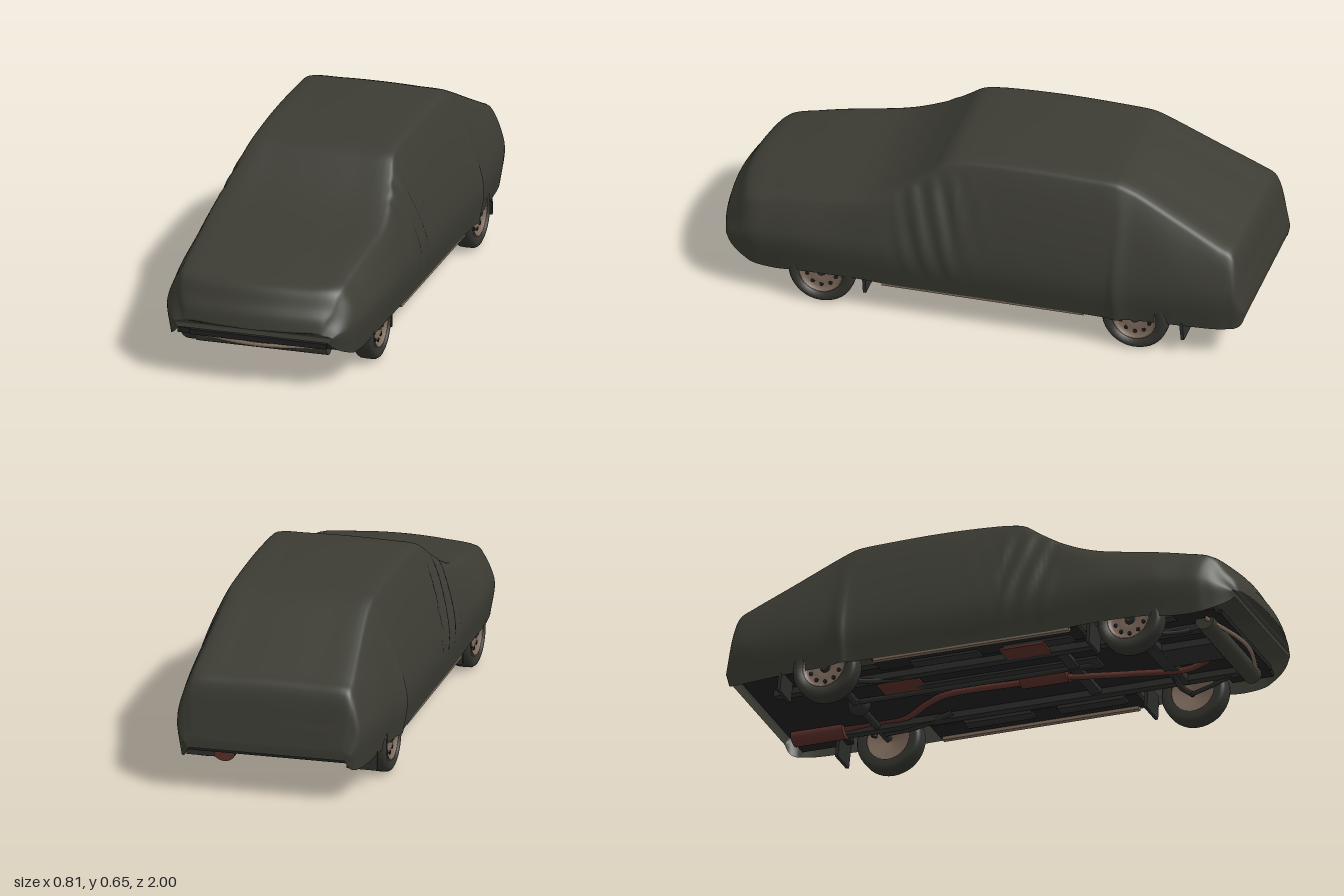
import * as THREE from 'three';

const mat = (name, color, side = THREE.FrontSide) =>
  Object.assign(new THREE.MeshStandardMaterial({ color, side }), { name });

export function createModel() {
  const car = new THREE.Group();
  car.name = 'coveredCar';
  const cloth = mat('cover cloth', 0x3c3c34, THREE.DoubleSide);
  const rubber = mat('tyre rubber', 0x34342f);
  const rim = mat('rim tan', 0x7c685a);
  const under = mat('underbody dark', 0x1e201e);
  const steel = mat('chassis steel', 0x2c2e2b);
  const rust = mat('exhaust brown', 0x5c302a);
  const sill = mat('sill tan', 0x806c5c);

  const add = (parent, name, geo, material, x = 0, y = 0, z = 0) => {
    const m = new THREE.Mesh(geo, material);
    m.name = name;
    m.position.set(x, y, z);
    parent.add(m);
    return m;
  };
  const box = (name, material, w, h, d, x, y, z) =>
    add(car, name, new THREE.BoxGeometry(w, h, d), material, x, y, z);
  const tube = (name, material, r, pts) => add(car, name, new THREE.TubeGeometry(
    new THREE.CatmullRomCurve3(pts.map(p => new THREE.Vector3(...p))), 40, r, 10), material);
  const rod = (name, material, r, len, x, y, z, axis) => {
    const m = add(car, name, new THREE.CylinderGeometry(r, r, len, 20), material, x, y, z);
    m.rotation[axis === 'x' ? 'z' : 'x'] = Math.PI / 2;
    return m;
  };

  add(car, 'fabricCover', coverGeometry(), cloth);

  // Wheels: tyre, rim dish, hub and round vents
  const tyreGeo = new THREE.LatheGeometry([
    [0.082, -0.036], [0.108, -0.039], [0.118, -0.034], [0.124, -0.024], [0.125, 0],
    [0.124, 0.024], [0.118, 0.034], [0.108, 0.039], [0.082, 0.036], [0.08, 0], [0.082, -0.036],
  ].map(p => new THREE.Vector2(...p)), 40);
  const rimGeo = new THREE.LatheGeometry([
    [0, -0.012], [0.078, -0.03], [0.084, -0.036], [0.084, 0.036], [0.076, 0.034],
    [0.068, 0.02], [0.045, 0.026], [0.028, 0.02], [0, 0.02],
  ].map(p => new THREE.Vector2(...p)), 36);
  for (const s of [1, -1]) {
    for (const [end, z] of [['front', 0.58], ['rear', -0.6]]) {
      const wheel = new THREE.Group();
      wheel.name = end + 'Wheel';
      wheel.position.set(s * 0.332, 0.125, z);
      wheel.rotation.z = -s * Math.PI / 2;
      add(wheel, 'tyre', tyreGeo, rubber);
      add(wheel, 'rim', rimGeo, rim);
      add(wheel, 'hubCap', new THREE.CylinderGeometry(0.016, 0.02, 0.014, 16), steel, 0, 0.025, 0);
      for (let i = 0; i < 10; i++) {
        const a = i * Math.PI / 5;
        add(wheel, 'rimVent', new THREE.CylinderGeometry(0.008, 0.008, 0.006, 10), under,
          Math.cos(a) * 0.056, 0.023, Math.sin(a) * 0.056);
      }
      car.add(wheel);
    }
    // Mud flaps
    box('frontMudFlap', steel, 0.115, 0.09, 0.012, s * 0.3, 0.105, 0.42).rotation.x = 0.05;
    box('rearMudFlap', steel, 0.115, 0.09, 0.012, s * 0.3, 0.105, -0.775).rotation.x = 0.1;

    // Sills, floor ribs, rails and suspension
    box('sill', sill, 0.02, 0.025, 0.76, s * 0.362, 0.125, -0.03);
    box('floorSide', under, 0.11, 0.02, 0.8, s * 0.31, 0.135, -0.02);
    box('chassisRail', steel, 0.035, 0.025, 1.7, s * 0.2, 0.122, 0);
    for (const z of [0.2, -0.16]) box('floorRib', steel, 0.05, 0.012, 0.26, s * 0.28, 0.122, z);
    tube('frontArm', steel, 0.011, [[s * 0.1, 0.12, 0.58], [s * 0.2, 0.1, 0.57], [s * 0.3, 0.11, 0.58]]);
    tube('frontStrut', steel, 0.008, [[s * 0.28, 0.1, 0.58], [s * 0.23, 0.105, 0.7], [s * 0.19, 0.125, 0.82]]);
    tube('rearTrailingArm', steel, 0.01, [[s * 0.17, 0.125, -0.3], [s * 0.21, 0.11, -0.45], [s * 0.25, 0.12, -0.6]]);
    rod('rearDamper', steel, 0.012, 0.09, s * 0.23, 0.15, -0.62, 'z').rotation.x = 0.2;
  }

  // Floor pan and ends
  box('floorPan', under, 0.52, 0.02, 1.82, 0, 0.145, -0.01);
  box('rearFloor', under, 0.64, 0.02, 0.2, 0, 0.145, -0.84);
  box('frontFloor', under, 0.62, 0.02, 0.16, 0, 0.145, 0.81);
  const lip = add(car, 'frontValance', new THREE.CylinderGeometry(0.035, 0.035, 0.5, 20), cloth, 0, 0.125, 0.83);
  lip.rotation.z = Math.PI / 2;
  tube('frontBumperEdge', sill, 0.008, [[-0.28, 0.125, 0.84], [0, 0.125, 0.9], [0.28, 0.125, 0.84]]);
  box('frontCrossmember', steel, 0.42, 0.03, 0.05, 0, 0.122, 0.58);
  box('gearboxCrossmember', steel, 0.4, 0.018, 0.04, 0, 0.124, 0.25);
  box('engineSump', steel, 0.14, 0.035, 0.2, -0.02, 0.125, 0.7);
  box('transmissionTunnel', steel, 0.09, 0.012, 0.7, -0.04, 0.132, 0);
  rod('rearAxle', steel, 0.014, 0.6, 0, 0.125, -0.6, 'x');
  add(car, 'differential', new THREE.SphereGeometry(0.042, 20, 14), steel, 0, 0.13, -0.6);
  rod('propShaft', steel, 0.01, 0.9, -0.04, 0.122, -0.13, 'z');

  // Exhaust and brown floor plates
  tube('frontExhaust', rust, 0.012, [[0.1, 0.14, 0.72], [0.1, 0.115, 0.64], [0.06, 0.11, 0.45], [0, 0.11, 0.2]]);
  rod('middleSilencer', rust, 0.026, 0.18, 0, 0.12, 0.12, 'z').scale.x = 1.4;
  tube('rearExhaust', rust, 0.012, [[0, 0.115, 0.05], [0, 0.115, -0.26], [0.06, 0.12, -0.36],
    [0.17, 0.135, -0.48], [0.18, 0.14, -0.6], [0.18, 0.13, -0.74]]);
  rod('rearSilencer', rust, 0.03, 0.2, 0.18, 0.125, -0.82, 'z').scale.x = 1.3;
  box('jackingPlate', rust, 0.09, 0.008, 0.17, -0.26, 0.112, 0.14);
  box('tankPlate', rust, 0.12, 0.008, 0.16, -0.11, 0.13, -0.4);
  return car;
}

// Draped cover lofted through sections: z, hem y, crown y, crown half width, waist half width
function coverGeometry() {
  const stations = [
    [1.0, 0.185, 0.22, 0.27, 0.3], [0.985, 0.16, 0.27, 0.28, 0.32], [0.96, 0.14, 0.305, 0.3, 0.34],
    [0.93, 0.125, 0.352, 0.31, 0.355], [0.9, 0.115, 0.37, 0.32, 0.365], [0.8, 0.11, 0.39, 0.325, 0.375],
    [0.68, 0.12, 0.41, 0.33, 0.385], [0.55, 0.125, 0.43, 0.335, 0.39], [0.44, 0.125, 0.45, 0.34, 0.39],
    [0.36, 0.122, 0.478, 0.335, 0.39], [0.28, 0.12, 0.52, 0.32, 0.39], [0.2, 0.12, 0.575, 0.3, 0.39],
    [0.14, 0.12, 0.618, 0.285, 0.39], [0.08, 0.12, 0.633, 0.28, 0.39], [-0.15, 0.12, 0.645, 0.28, 0.39],
    [-0.4, 0.12, 0.641, 0.28, 0.392], [-0.5, 0.12, 0.635, 0.28, 0.396], [-0.53, 0.12, 0.627, 0.28, 0.403],
    [-0.58, 0.12, 0.607, 0.28, 0.388], [-0.75, 0.12, 0.522, 0.295, 0.375], [-0.9, 0.118, 0.447, 0.31, 0.36],
    [-0.945, 0.12, 0.424, 0.31, 0.35], [-0.965, 0.122, 0.39, 0.31, 0.345], [-0.985, 0.13, 0.29, 0.305, 0.33],
    [-1.0, 0.165, 0.2, 0.29, 0.31],
  ];
  const cols = 56, rows = (stations.length - 1) * 6;
  const sections = stations.map(([z, yb, yt, wt, wm]) => {
    const h = yt - yb, e = Math.min(0.035, h * 0.3), ym = Math.min(0.25, yb + h * 0.45);
    const bulge = h > 0.4 ? 0.016 : 0.008;
    const half = [
      [wm - 0.018, yb], [wm, ym], [(wm + wt) / 2 + bulge, (ym + yt - e) / 2],
      [wt, yt - e], [wt * 0.93, yt - e * 0.32], [wt * 0.5, yt - e * 0.08],
    ];
    const pts = [...half, [0, yt], ...half.map(([x, y]) => [-x, y]).reverse()];
    return new THREE.CatmullRomCurve3(pts.map(([x, y]) => new THREE.Vector3(x, y, z))).getPoints(cols);
  });
  const step = THREE.MathUtils.smoothstep;
  const pos = [], index = [];
  const rails = [];
  for (let j = 0; j <= cols; j++) {
    rails.push(new THREE.CatmullRomCurve3(sections.map(s => s[j])).getPoints(rows));
  }
  for (let i = 0; i <= rows; i++) {
    for (let j = 0; j <= cols; j++) {
      const p = rails[j][i];
      // Bowed nose, and soft cloth folds behind the windscreen pillar
      const bow = 0.06 * (p.x / 0.35) ** 2 * step(p.z, 0.6, 0.95);
      const fold = 0.005 * Math.sin(p.z * 75 - p.y * 22) * step(p.z, -0.12, 0.05) *
        (1 - step(p.z, 0.22, 0.36)) * step(p.y, 0.15, 0.33) * (1 - step(p.y, 0.5, 0.6)) *
        step(Math.abs(p.x), 0.26, 0.32);
      pos.push(p.x + Math.sign(p.x) * fold, p.y, p.z - bow);
      if (i < rows && j < cols) {
        const a = i * (cols + 1) + j, b = a + cols + 1;
        index.push(a, b, a + 1, b, b + 1, a + 1);
      }
    }
  }
  // Close the narrow slots at nose and tail
  for (let j = 0; j < cols / 2; j++) {
    const k = cols - j, t = rows * (cols + 1);
    index.push(j, j + 1, k, j + 1, k - 1, k, t + j, t + k, t + j + 1, t + j + 1, t + k, t + k - 1);
  }
  const geo = new THREE.BufferGeometry();
  geo.setAttribute('position', new THREE.Float32BufferAttribute(pos, 3));
  geo.setIndex(index);
  geo.computeVertexNormals();
  return geo;
}
